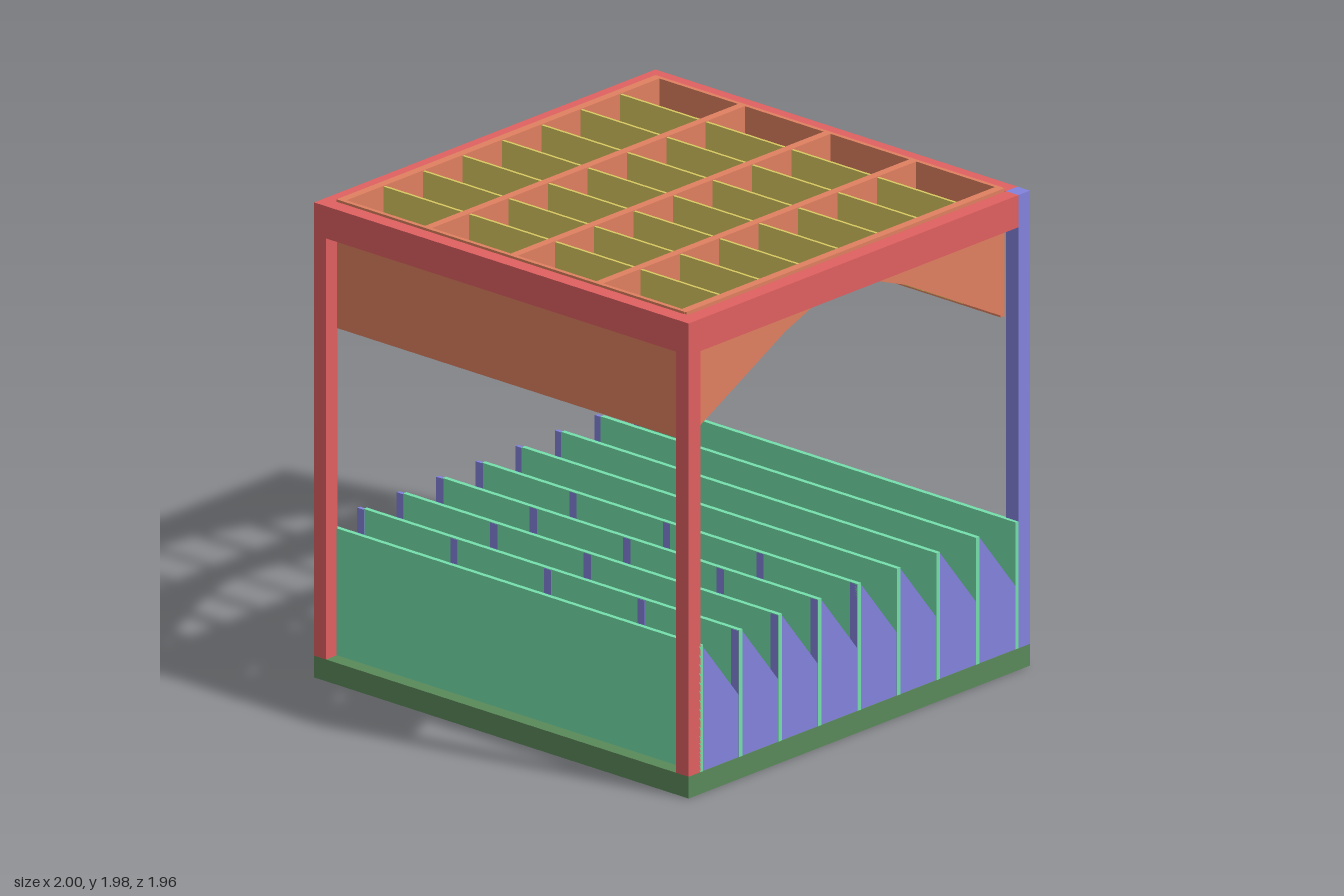
import * as THREE from 'three';

const material = (color) => new THREE.MeshStandardMaterial({ color, flatShading: true });
const RED = material(0xe06060), ORANGE = material(0xe08060), BASE = material(0x5a8a5a);
const MINT = material(0x74dfab), BLUE = material(0x8282dc), YELLOW = material(0xd8c860);

// Box given by its minimum and maximum on each axis
function box(parent, name, mat, [x0, x1], [y0, y1], [z0, z1]) {
  const mesh = new THREE.Mesh(new THREE.BoxGeometry(x1 - x0, y1 - y0, z1 - z0), mat);
  mesh.position.set((x0 + x1) / 2, (y0 + y1) / 2, (z0 + z1) / 2);
  mesh.name = name;
  parent.add(mesh);
}

// Upright board: a (z, y) outline extruded along x, centred on the given x
function board(parent, name, mat, outline, x, thickness) {
  const shape = new THREE.Shape(outline.map(([z, y]) => new THREE.Vector2(-z, y)));
  const geometry = new THREE.ExtrudeGeometry(shape, { depth: thickness, bevelEnabled: false });
  geometry.rotateY(Math.PI / 2);
  const mesh = new THREE.Mesh(geometry, mat);
  mesh.position.x = x - thickness / 2;
  mesh.name = name;
  parent.add(mesh);
}

const PITCH = 0.2275;
const ROOF_TOP = 1.975;

// Underside of the vaulted roof, from the middle outwards: [distance, height]
const ARCH = [[0, 1.835], [0.14, 1.812], [0.345, 1.735], [0.915, 1.443]];

function archHeight(z) {
  const d = Math.abs(z);
  const i = Math.max(1, ARCH.findIndex(([a]) => a >= d));
  const [a, ya] = ARCH[i - 1], [b, yb] = ARCH[i];
  return ya + (yb - ya) * (d - a) / (b - a);
}

export function createModel() {
  const model = new THREE.Group();
  model.name = 'pavilion';

  // Base slab
  box(model, 'base', BASE, [-0.96, 1], [0, 0.09], [-0.98, 0.98]);

  // Frame: four corner posts and a ring of top beams
  const frame = new THREE.Group();
  frame.name = 'frame';
  model.add(frame);
  const left = [0.935, 1], right = [-0.96, -0.898];
  const front = [0.913, 0.98], back = [-0.98, -0.913];
  const postY = [0.09, 1.832], beamY = [1.832, 1.965];
  box(frame, 'frontPost', RED, left, postY, front);
  box(frame, 'frontPost', RED, right, postY, front);
  box(frame, 'backPost', RED, right, postY, back);
  box(frame, 'backCornerPost', BLUE, left, [0.09, 1.965], back);
  box(frame, 'frontBeam', RED, [-0.96, 1], beamY, front);
  box(frame, 'backBeam', RED, [-0.96, 0.935], beamY, back);
  for (const side of [left, right]) box(frame, 'sideBeam', RED, side, beamY, [-0.913, 0.913]);

  // Lower lattice: sawtooth boards along z
  const lower = new THREE.Group();
  lower.name = 'lowerLattice';
  model.add(lower);
  const saw = [[-0.915, 0.09], [0.915, 0.09], [0.915, 0.612]];
  for (let i = 0; i < 8; i++) {
    const z = 0.91 - i * PITCH;
    saw.push([z - 0.01, 0.61], [z - PITCH + 0.01, 0.35], [z - PITCH + 0.01, 0.612]);
  }
  saw.push([-0.915, 0.612]);
  for (let k = -2; k <= 2; k++) board(lower, 'sawtoothBoard', BLUE, saw, k * 0.4895, 0.038);

  // Lower lattice: partitions along x
  for (let i = 0; i < 9; i++) {
    const z = 0.908 - i * 0.227;
    box(lower, 'partition', MINT, [-0.965, 1], [0.09, 0.615], [z - 0.01, z + 0.01]);
  }

  // Roof lattice: vaulted ribs along z
  const roof = new THREE.Group();
  roof.name = 'roofLattice';
  model.add(roof);
  const rib = [
    [0.913, ROOF_TOP], [-0.913, ROOF_TOP],
    ...ARCH.slice(1).reverse().map(([z, y]) => [-Math.min(z, 0.913), y]),
    ...ARCH.map(([z, y]) => [Math.min(z, 0.913), y]),
  ];
  for (let k = -2; k <= 2; k++) board(roof, 'roofRib', ORANGE, rib, 0.013 + k * 0.448, 0.036);

  // Roof lattice: slats along x that follow the vault
  for (let i = -3; i <= 3; i++) {
    const z = i * PITCH * 0.995;
    box(roof, 'roofSlat', YELLOW, [-0.9, 0.925], [archHeight(z), ROOF_TOP - 0.003], [z - 0.006, z + 0.006]);
  }

  // Roof lattice: deep end panels
  for (const z of [-0.907, 0.907]) {
    box(roof, 'roofEndPanel', ORANGE, [-0.9, 0.92], [1.443, ROOF_TOP], [z - 0.009, z + 0.009]);
  }

  return model;
}
